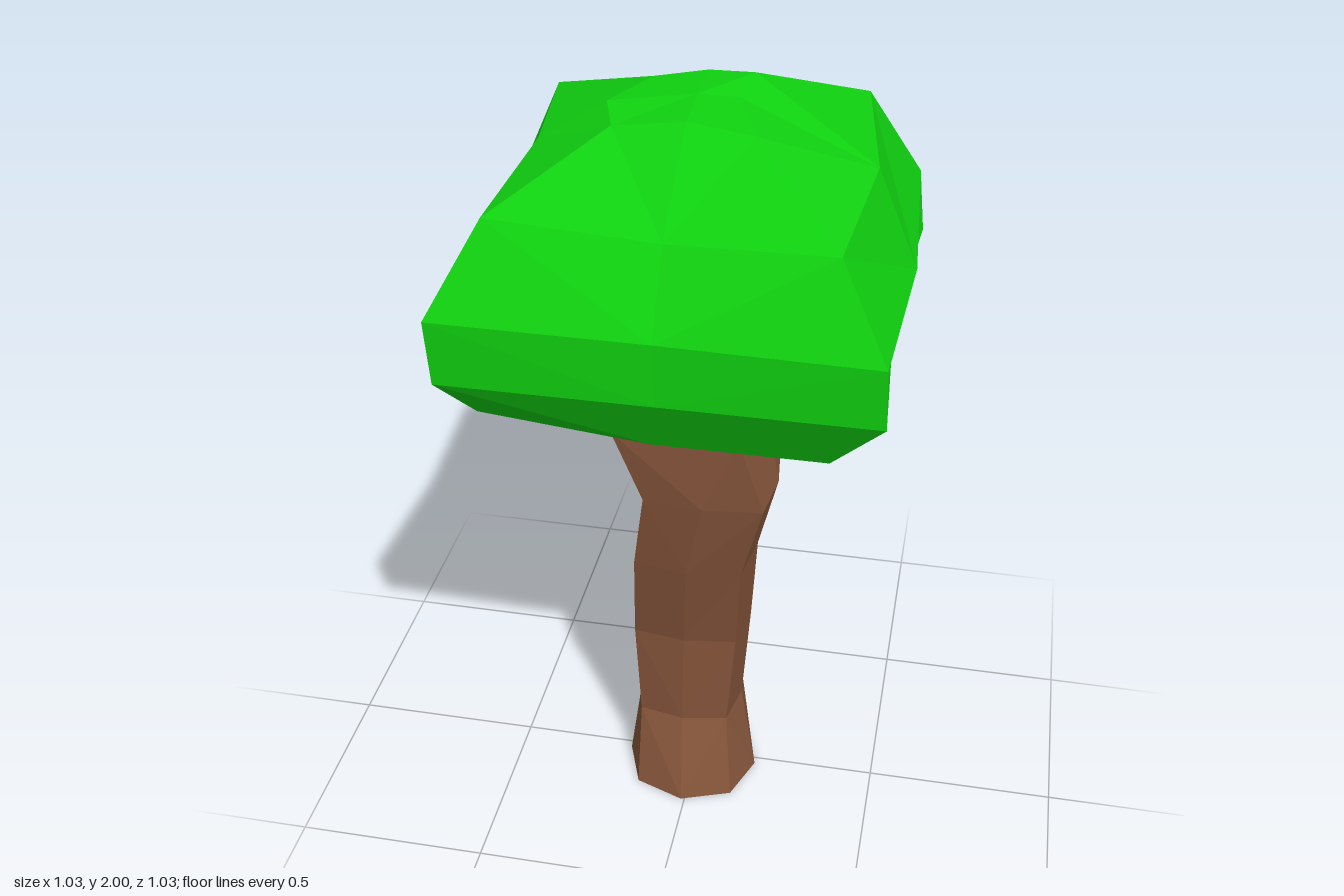
import * as THREE from 'three';

// Eight-point ring: four corners and four edge middles; k rounds the corners off.
const DIRS = [[-1, -1], [0, -1], [1, -1], [1, 0], [1, 1], [0, 1], [-1, 1], [-1, 0]];
function ring(y, x0, x1, z0, z1, k = 1) {
  const cx = (x0 + x1) / 2, cz = (z0 + z1) / 2;
  return DIRS.map(([dx, dz]) => {
    const f = dx && dz ? k : 1;
    return [cx + dx * f * (x1 - x0) / 2, y, cz + dz * f * (z1 - z0) / 2];
  });
}

// Joins stacked rings with faceted sides.
function loft(rings) {
  const pos = [];
  for (let r = 0; r < rings.length - 1; r++) {
    for (let i = 0; i < 8; i++) {
      const j = (i + 1) % 8;
      const a = rings[r][i], b = rings[r][j], c = rings[r + 1][j], d = rings[r + 1][i];
      // alternate the diagonal so it runs towards the edge middles
      if (i % 2) pos.push(...a, ...d, ...c, ...a, ...c, ...b);
      else pos.push(...a, ...d, ...b, ...d, ...c, ...b);
    }
  }
  return pos;
}

// Closes a ring with a fan around a centre point.
function cap(points, centre, up) {
  const pos = [];
  points.forEach((p, i) => {
    const q = points[(i + 1) % 8];
    pos.push(...centre, ...(up ? q : p), ...(up ? p : q));
  });
  return pos;
}

function mesh(name, pos, color) {
  const geo = new THREE.BufferGeometry();
  geo.setAttribute('position', new THREE.Float32BufferAttribute(pos, 3));
  geo.computeVertexNormals();
  const m = new THREE.Mesh(geo, new THREE.MeshStandardMaterial({ color, flatShading: true }));
  m.name = name;
  return m;
}

export function createModel() {
  const group = new THREE.Group();
  group.name = 'tree';
  const green = 0x10d010, brown = 0x84543a;

  // Trunk: wavering column, octagonal at the foot and squarer at the top
  const trunk = [
    ring(0.0, -0.19, 0.17, -0.155, 0.2, 0.73),
    ring(0.22, -0.165, 0.12, -0.175, 0.11, 0.84),
    ring(0.5, -0.175, 0.14, -0.195, 0.11, 0.87),
    ring(0.77, -0.16, 0.16, -0.17, 0.165, 0.87),
    ring(1.0, -0.12, 0.215, -0.12, 0.2, 0.9),
    ring(1.2, -0.175, 0.14, -0.13, 0.2, 1),
  ];
  group.add(mesh('trunk', loft(trunk), brown));
  group.add(mesh('trunkBase', cap(trunk[0], [0, 0, 0.02], false), green));

  // Crown: underside rings, with a notch on the left side
  const under = ring(1.32, -0.43, 0.375, -0.39, 0.41);
  under[2][1] = 1.3;
  under[6][1] = 1.36;
  under[3] = [0.24, 1.31, 0.02];
  const lower = ring(1.48, -0.495, 0.5, -0.47, 0.505);
  lower[3][0] = 0.47;

  // Crown: uneven widest ring, shoulder and top
  const widest = [
    [-0.515, 1.61, -0.47], [0, 1.62, -0.475], [0.48, 1.62, -0.52], [0.515, 1.62, 0.03],
    [0.495, 1.63, 0.515], [0, 1.635, 0.51], [-0.5, 1.64, 0.515], [-0.485, 1.62, 0],
  ];
  const shoulder = [
    [-0.42, 1.85, -0.36], [0.02, 1.87, -0.41], [0.35, 1.87, -0.395], [0.415, 1.86, 0.03],
    [0.38, 1.83, 0.42], [0, 1.81, 0.39], [-0.39, 1.84, 0.4], [-0.37, 1.86, 0.01],
  ];
  const top = [
    [-0.125, 1.98, -0.11], [0, 1.995, -0.135], [0.11, 2, -0.125], [0.09, 1.98, -0.02],
    [0.155, 1.96, 0.145], [0, 1.975, 0.13], [-0.17, 1.95, 0.12], [-0.2, 1.97, 0.03],
  ];
  group.add(mesh('crown', [
    ...loft([trunk[5], under, lower, widest, shoulder, top]),
    ...cap(top, [0, 1.99, 0], true),
  ], green));
  return group;
}
